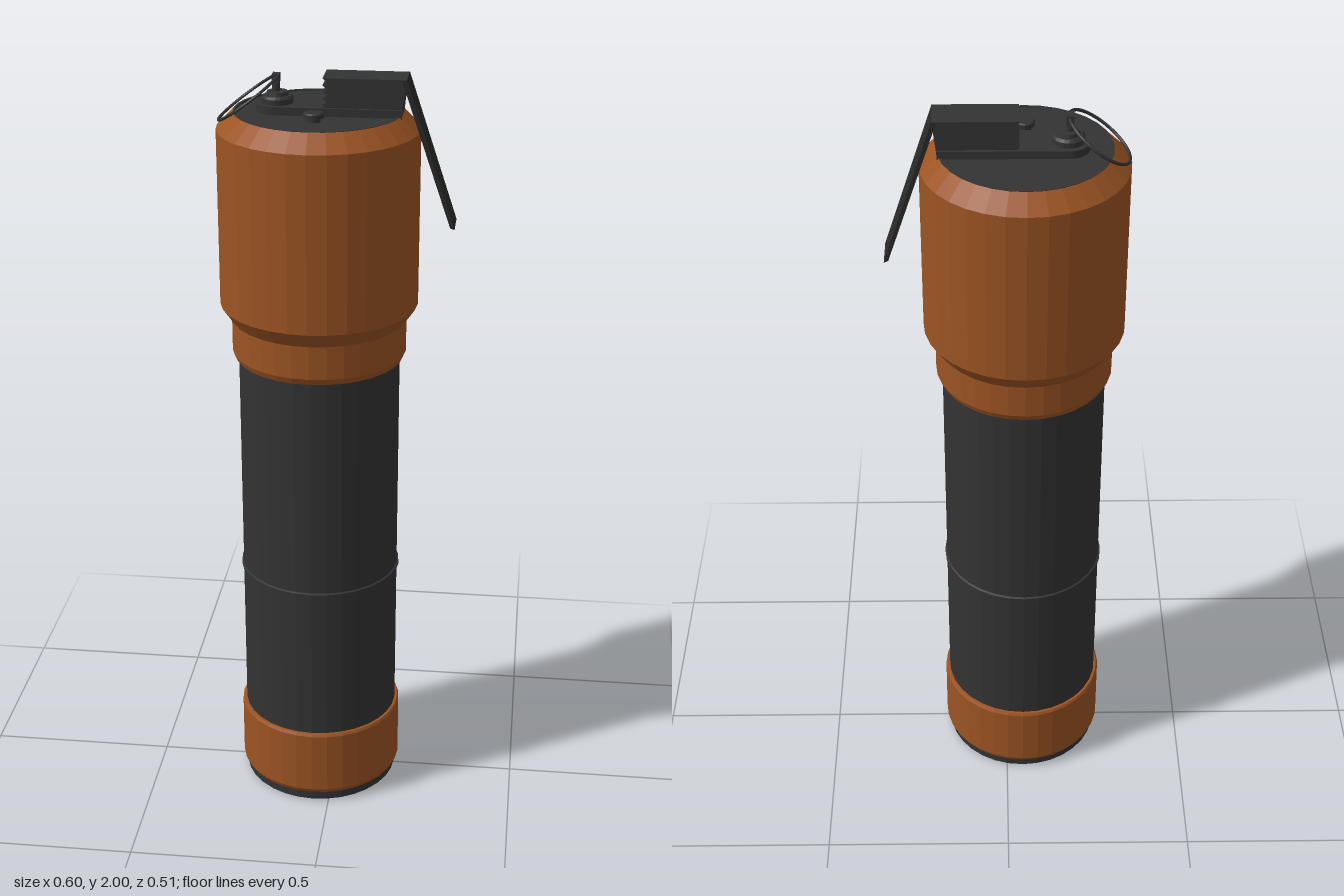
import * as THREE from 'three';

const SIDES = 32;
const AXIS_X = -0.045; // the tube sits off centre, the lever balances it
const orange = new THREE.MeshStandardMaterial({ color: 0x9c5423, flatShading: true });
const dark = new THREE.MeshStandardMaterial({ color: 0x333333, flatShading: true });
const darkThin = new THREE.MeshStandardMaterial({ color: 0x2b2b2b, flatShading: true, side: THREE.DoubleSide });

export function createModel() {
  const model = new THREE.Group();

  const add = (name, geometry, material, x = 0, y = 0, z = 0) => {
    const mesh = new THREE.Mesh(geometry, material);
    mesh.name = name;
    mesh.position.set(x, y, z);
    model.add(mesh);
    return mesh;
  };
  // Profile of [radius, y] pairs from bottom to top
  const lathe = (name, profile, material, x = AXIS_X, z = 0, sides = SIDES) =>
    add(name, new THREE.LatheGeometry(profile.map(([r, y]) => new THREE.Vector2(r, y)), sides), material, x, 0, z);
  // Side outline of [x, y] pairs, extruded evenly about z = 0
  const slab = (name, outline, width, material) => {
    const shape = new THREE.Shape(outline.map(([x, y]) => new THREE.Vector2(x, y)));
    const geometry = new THREE.ExtrudeGeometry(shape, { depth: width, bevelEnabled: false });
    return add(name, geometry.translate(0, 0, -width / 2), material);
  };

  // Tube, with a raised seam around the middle
  lathe('bodyTube', [[0, 0], [0.205, 0], [0.21, 0.005], [0.21, 1.3]], dark);
  lathe('bodySeam', [[0.208, 0.648], [0.215, 0.651], [0.215, 0.659], [0.208, 0.662]], dark);

  // Coloured sleeves
  lathe('bottomBand', [[0.209, 0.028], [0.215, 0.03], [0.221, 0.042], [0.221, 0.215], [0.217, 0.222], [0.209, 0.222]], orange);
  lathe('headSleeve', [
    [0.209, 1.262], [0.218, 1.265], [0.226, 1.282], [0.226, 1.37], [0.255, 1.412],
    [0.255, 1.867], [0.212, 1.91], [0.207, 1.91], [0.207, 1.9],
  ], orange);
  lathe('topDisc', [[0.212, 1.9], [0.212, 1.911], [0.207, 1.911], [0.206, 1.907], [0, 1.907]], dark);

  // Mounting plate with a rounded end under the fuse
  const plate = new THREE.Shape();
  plate.moveTo(0.165, -0.053);
  plate.lineTo(0.165, 0.053);
  plate.lineTo(-0.147, 0.053);
  plate.absarc(-0.147, 0, 0.053, Math.PI / 2, Math.PI * 1.5, false);
  const plateGeometry = new THREE.ExtrudeGeometry(plate, { depth: 0.022, bevelEnabled: false, curveSegments: 12 });
  add('mountingPlate', plateGeometry.rotateX(-Math.PI / 2), dark, 0, 1.905, 0);

  // Fuse housing and pin post
  lathe('fuseHousing', [[0.04, 1.92], [0.04, 1.94], [0.034, 1.946], [0.028, 1.946], [0.026, 1.955], [0, 1.955]], dark, -0.147, 0, 20);
  lathe('pinPost', [[0.01, 1.95], [0.01, 1.985], [0, 1.985]], dark, -0.15, 0, 12);
  add('pinBlock', new THREE.BoxGeometry(0.018, 0.022, 0.03), dark, -0.15, 1.987, 0);

  // Pull ring leaning over the rim
  const ring = add('pullRing', new THREE.TorusGeometry(0.0915, 0.004, 6, 32), dark, -0.221, 1.936, 0);
  ring.rotation.set(-Math.PI / 2, Math.atan2(-0.11, 0.15), 0);

  // Small stud on the top face
  lathe('topStud', [[0.017, 1.9], [0.017, 1.915], [0.025, 1.917], [0.025, 1.927], [0.022, 1.93], [0, 1.93]], dark, AXIS_X, 0.1, 16);

  // Hinge block with a ridged rear end
  const outline = [[-0.02, 1.915], [0.165, 1.915], [0.175, 2], [-0.03, 2]];
  for (let i = 0; i < 4; i++) {
    const y = 1.99 - i * 0.016;
    outline.push([-0.02, y], [-0.03, y - 0.008]);
  }
  slab('hingeBlock', outline, 0.09, dark);

  // Thin safety lever, skewed slightly as it drops
  const lever = slab('safetyLever', [[0.164, 1.998], [0.289, 1.629], [0.3, 1.625], [0.176, 2]], 0.092, darkThin);
  const p = lever.geometry.attributes.position;
  for (let i = 0; i < p.count; i++) p.setZ(i, p.getZ(i) - ((p.getX(i) - 0.17) / 0.13) * 0.008);
  lever.geometry.computeVertexNormals();

  return model;
}
